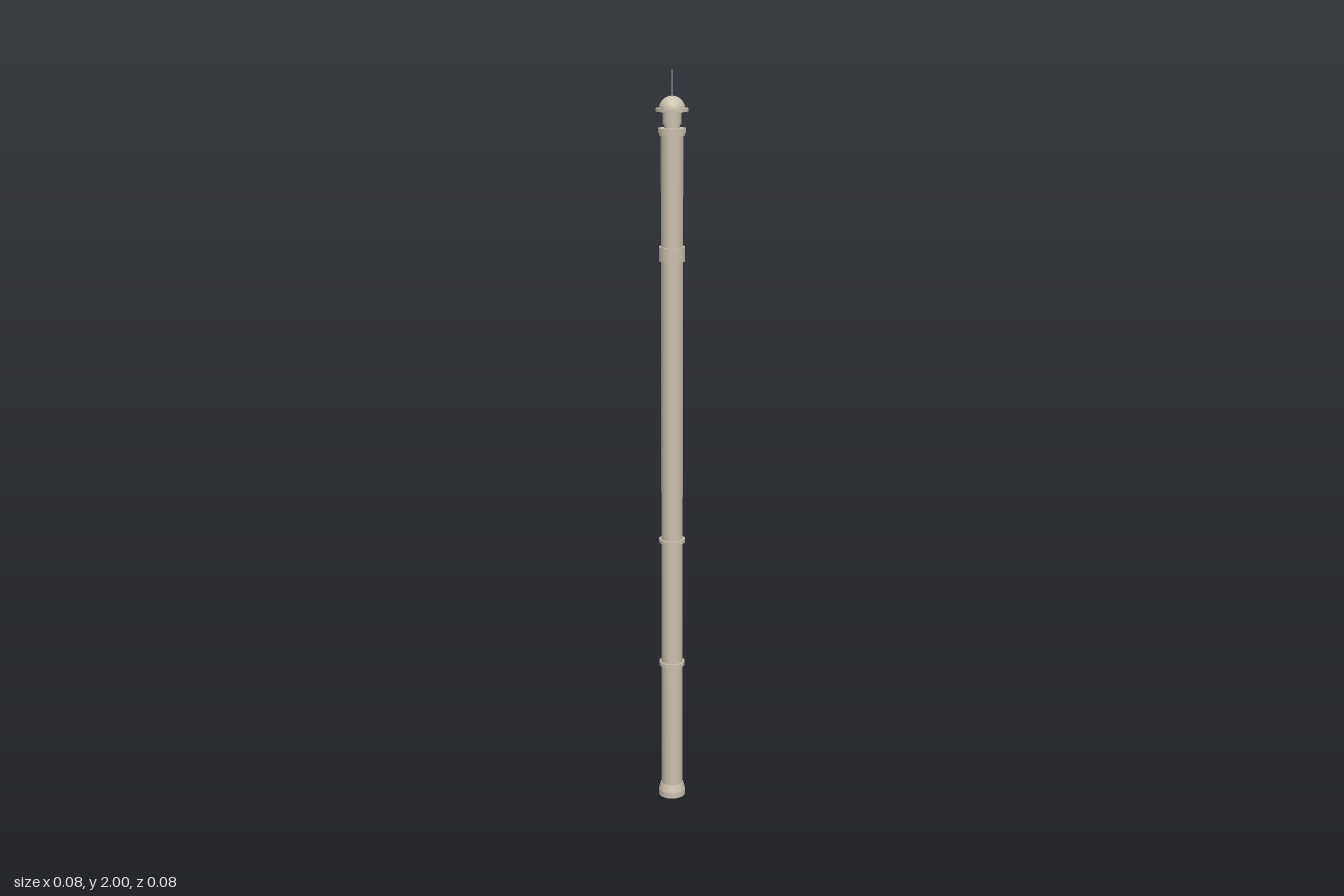
import * as THREE from 'three';

const SIDES = 32;

export function createModel() {
  const group = new THREE.Group();
  const stone = new THREE.MeshStandardMaterial({ color: 0xcbc0b0 });
  stone.name = 'pale stone';
  const metal = new THREE.MeshStandardMaterial({ color: 0x777a86 });
  metal.name = 'grey metal';

  function add(name, geometry, y = 0, material = stone) {
    const mesh = new THREE.Mesh(geometry, material);
    mesh.name = name;
    mesh.position.y = y;
    group.add(mesh);
  }
  // upright cylinder between two heights
  function drum(name, y0, y1, r, rTop = r, material = stone, sides = SIDES) {
    add(name, new THREE.CylinderGeometry(rTop, r, y1 - y0, sides), (y0 + y1) / 2, material);
  }

  // flared foot and tall shaft
  drum('footPlinth', 0, 0.016, 0.037);
  drum('footFlare', 0.016, 0.036, 0.037, 0.031);
  drum('shaft', 0.03, 1.84, 0.029);

  // thin rings and the wide collar around the shaft
  for (const y of [0.395, 0.75]) drum('shaftRing', y - 0.005, y + 0.005, 0.035);
  drum('collar', 1.512, 1.55, 0.034);

  // capital with two stacked mouldings
  drum('capitalLower', 1.835, 1.842, 0.033);
  drum('capitalUpper', 1.842, 1.854, 0.036);

  // lantern neck below the brim
  drum('lanternNeck', 1.854, 1.864, 0.02);
  drum('lantern', 1.864, 1.898, 0.024);
  drum('brim', 1.896, 1.904, 0.042);

  // domed cap and spire
  add('dome', new THREE.SphereGeometry(0.034, SIDES, 10, 0, Math.PI * 2, 0, Math.PI / 2), 1.901);
  drum('spire', 1.93, 2, 0.003, 0.002, metal, 10);

  return group;
}
